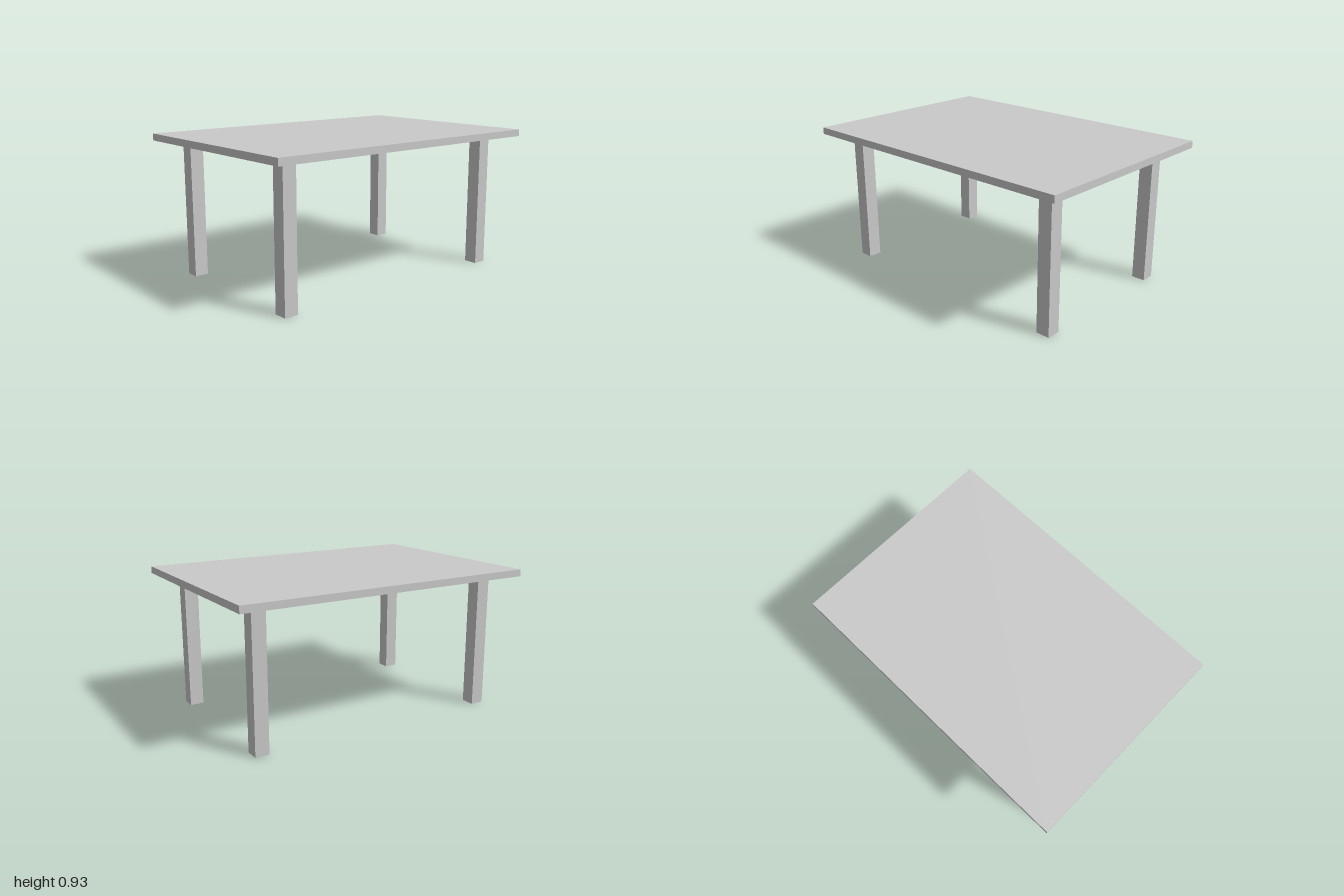
import * as THREE from 'three';

export function createModel() {
  const table = new THREE.Group();
  table.name = 'table';

  const grey = new THREE.MeshStandardMaterial({ color: 0xc9c9c9 });
  grey.name = 'light grey';

  const topHeight = 0.933, topThickness = 0.045;
  const legHeight = topHeight - topThickness, legWidth = 0.09;

  // Flat rectangular slab
  const top = new THREE.Mesh(new THREE.BoxGeometry(1.384, topThickness, 2), grey);
  top.name = 'tableTop';
  top.position.y = topHeight - topThickness / 2;
  table.add(top);

  // Four square legs, set in from the corners
  const legGeometry = new THREE.BoxGeometry(legWidth, legHeight, legWidth);
  for (const [sideName, sx] of [['Left', 1], ['Right', -1]]) {
    for (const [endName, sz] of [['front', 1], ['back', -1]]) {
      const leg = new THREE.Mesh(legGeometry, grey);
      leg.name = `${endName}${sideName}Leg`;
      leg.position.set(sx * 0.498, legHeight / 2, sz * 0.82);
      table.add(leg);
    }
  }
  return table;
}
